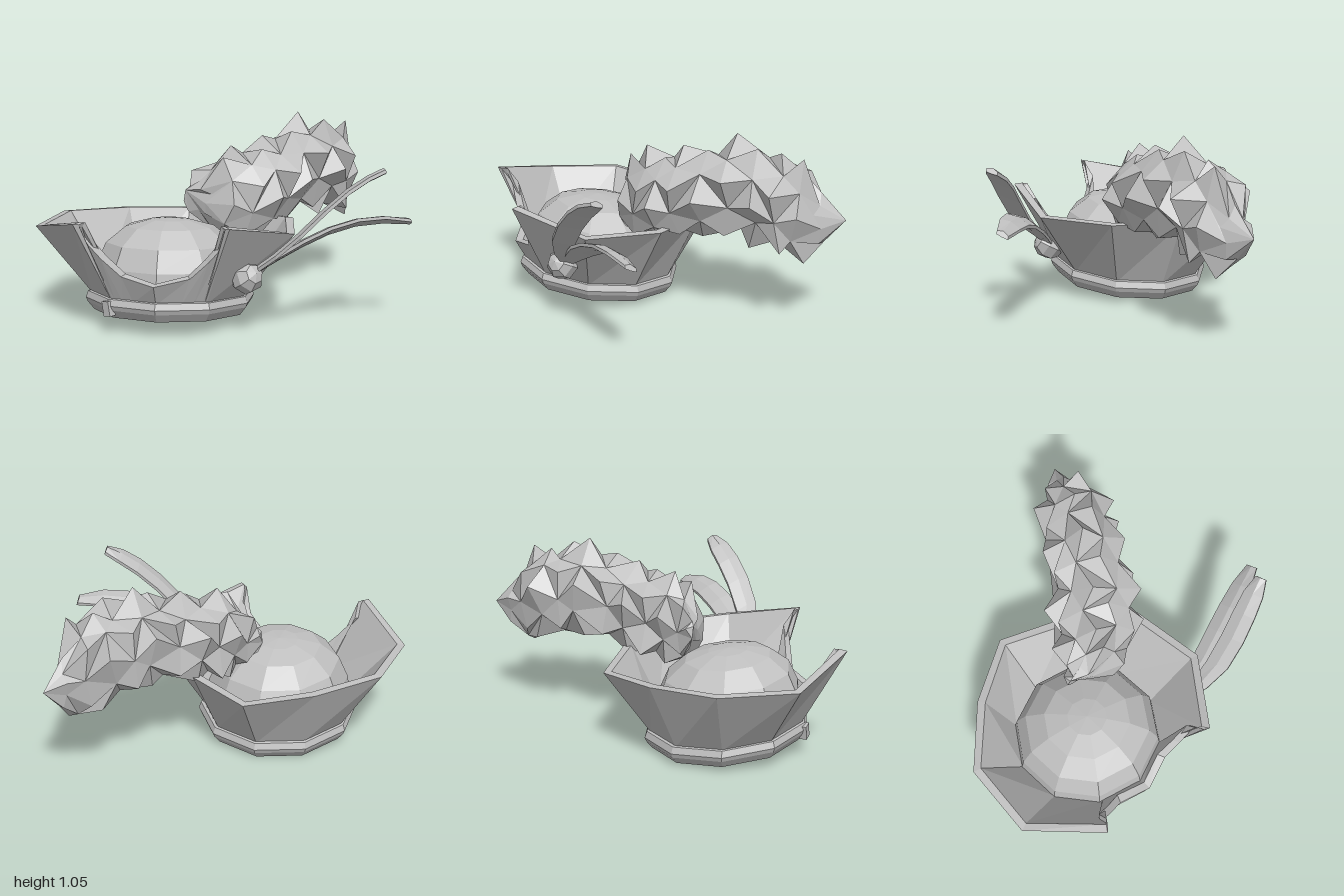
import * as THREE from 'three';

const CX = -0.305, CZ = 0.31, SLOPE = 0.11;
const rad = Math.PI / 180;

// Joins cross-section loops with quads, faceted
function loft(rings, zigzag = false) {
  const pos = [];
  for (let i = 0; i < rings.length - 1; i++) {
    const lo = rings[i], hi = rings[i + 1], n = lo.length;
    for (let j = 0; j < n; j++) {
      const k = (j + 1) % n;
      const a = lo[j], b = lo[k], c = hi[k], d = hi[j];
      const tris = zigzag && (i + j) % 2 ? [a, b, d, b, c, d] : [a, b, c, a, c, d];
      tris.forEach(p => pos.push(...p));
    }
  }
  const g = new THREE.BufferGeometry();
  g.setAttribute('position', new THREE.Float32BufferAttribute(pos, 3));
  g.computeVertexNormals();
  return g;
}

// Point on the ten-sided, slightly tilted hat body; angle 0 is the front
function body(deg, r, y) {
  const k = ((deg % 36) + 36) % 36;
  const rr = r * Math.cos(18 * rad) / Math.cos((k - 18) * rad);
  const z = rr * Math.cos(deg * rad);
  return [CX + rr * Math.sin(deg * rad), y + SLOPE * z, CZ + z];
}

export function createModel() {
  const group = new THREE.Group();
  const grey = new THREE.MeshStandardMaterial({ color: 0xbfbfbf, side: THREE.DoubleSide, flatShading: true });
  const add = (name, geo) => {
    const m = new THREE.Mesh(geo, grey);
    m.name = name;
    group.add(m);
    return m;
  };
  const ten = [...Array(10).keys()].map(i => i * 36);
  const turned = profile => loft(profile.map(([r, y]) => ten.map(t => body(t, r, y))));

  // Underside and ridged band
  add('band', turned([[0, 0.045], [0.42, 0.045], [0.455, 0.09], [0.465, 0.115], [0.452, 0.15], [0.41, 0.16]]));

  // Crown dome
  add('crown', turned([[0.42, 0.2], [0.405, 0.3], [0.35, 0.42], [0.24, 0.51], [0.11, 0.545], [0, 0.555]]));

  // Upturned brim: [angle, sideways offset, y, z] from front to back
  const half = [
    [0, 0, 0.3, 0.8], [18, 0.18, 0.335, 0.745], [27, 0.28, 0.43, 0.76], [33, 0.375, 0.54, 0.77],
    [34.5, 0.375, 0.625, 0.83], [36, 0.4, 0.63, 0.85], [72, 0.695, 0.53, 0.5], [108, 0.65, 0.52, 0.08],
    [144, 0.35, 0.49, -0.2], [180, 0, 0.46, -0.38],
  ];
  const rim = [...half, ...half.slice(1, -1).reverse().map(([t, x, y, z]) => [360 - t, -x, y, z])];
  const outerBase = rim.map(([t]) => body(t, 0.43, 0.14));
  const outerRim = rim.map(([, x, y, z]) => [CX + x, y, z]);
  const innerRim = rim.map(([, x, y, z]) => {
    const l = Math.hypot(x, z - CZ), s = (l - 0.045) / l;
    return [CX + x * s, y + 0.005, CZ + (z - CZ) * s];
  });
  const innerBase = rim.map(([t]) => body(t, 0.41, 0.21));
  add('brim', loft([outerBase, outerRim, innerRim, innerBase]));

  // Small knot where the band ends meet
  const knot = add('bandKnot', new THREE.BoxGeometry(0.05, 0.08, 0.04));
  knot.position.set(-0.57, 0.14, 0.675);
  knot.rotation.set(0, -36 * rad, 0.2);

  // Shaggy plume: [x, y, z, half width, half height]
  let seed = 11;
  const rnd = () => (seed = (seed * 16807) % 2147483647) / 2147483647;
  const stations = [
    [-0.25, 0.67, 0.13, 0, 0], [-0.18, 0.63, 0.14, 0.09, 0.09], [-0.09, 0.62, 0.15, 0.16, 0.22],
    [0, 0.63, 0.08, 0.22, 0.25], [0.08, 0.65, 0, 0.25, 0.25], [0.16, 0.68, -0.1, 0.25, 0.24],
    [0.24, 0.71, -0.22, 0.23, 0.25], [0.33, 0.74, -0.34, 0.22, 0.27], [0.41, 0.72, -0.45, 0.22, 0.26],
    [0.48, 0.69, -0.55, 0.21, 0.27], [0.54, 0.66, -0.65, 0.15, 0.27], [0.58, 0.62, -0.74, 0.08, 0.13],
    [0.63, 0.62, -0.86, 0, 0],
  ];
  const sides = 10;
  const plume = stations.map(([x, y, z, w, h], i) =>
    [...Array(sides).keys()].map(j => {
      const a = (j + (i % 2) * 0.5) / sides * Math.PI * 2;
      const s = ((i + j) % 2 ? 1.08 : 0.84) + (rnd() - 0.5) * 0.2;
      const u = Math.cos(a) * w * s, v = Math.sin(a) * h * s;
      const along = (rnd() - 0.5) * 0.07 * Math.min(1, w * 10);
      return [x - 0.82 * u + 0.57 * along, y + v, z - 0.57 * u - 0.82 * along];
    }));
  add('plume', loft(plume, true));

  // Two long curved feathers with a raised spine, back edge tipped down
  const widths = [0.02, 0.045, 0.062, 0.064, 0.062, 0.055, 0.03];
  const feather = (name, pts, tilt) => {
    const curve = new THREE.CatmullRomCurve3(pts.map(p => new THREE.Vector3(...p)));
    const rings = widths.map((w, i) => {
      const c = curve.getPoint(i / (widths.length - 1));
      const at = (u, v) => [c.x - 0.2 * u - 0.5 * v, c.y - tilt * u + v, c.z - u];
      return [at(w, -0.008), at(w, 0.008), at(0, 0.02), at(-w, 0.008), at(-w, -0.008), at(0, -0.01)];
    });
    const cap = ring => ring.map(() => [0, 1, 2].map(k => ring.reduce((s, p) => s + p[k], 0) / ring.length));
    add(name, loft([cap(rings[0]), ...rings, cap(rings[rings.length - 1])]));
  };
  feather('upperFeather', [[0.18, 0.33, 0.58], [0.36, 0.48, 0.62], [0.55, 0.67, 0.6], [0.72, 0.81, 0.55], [0.85, 0.875, 0.51]], 0.3);
  feather('lowerFeather', [[0.18, 0.33, 0.57], [0.37, 0.45, 0.54], [0.57, 0.55, 0.49], [0.78, 0.6, 0.43], [0.985, 0.585, 0.37]], 0.45);

  // Faceted brooch holding the feathers
  const brooch = add('brooch', new THREE.SphereGeometry(0.088, 7, 5));
  brooch.position.set(0.15, 0.31, 0.59);
  brooch.rotation.set(0.9, 0, -0.7);

  return group;
}
